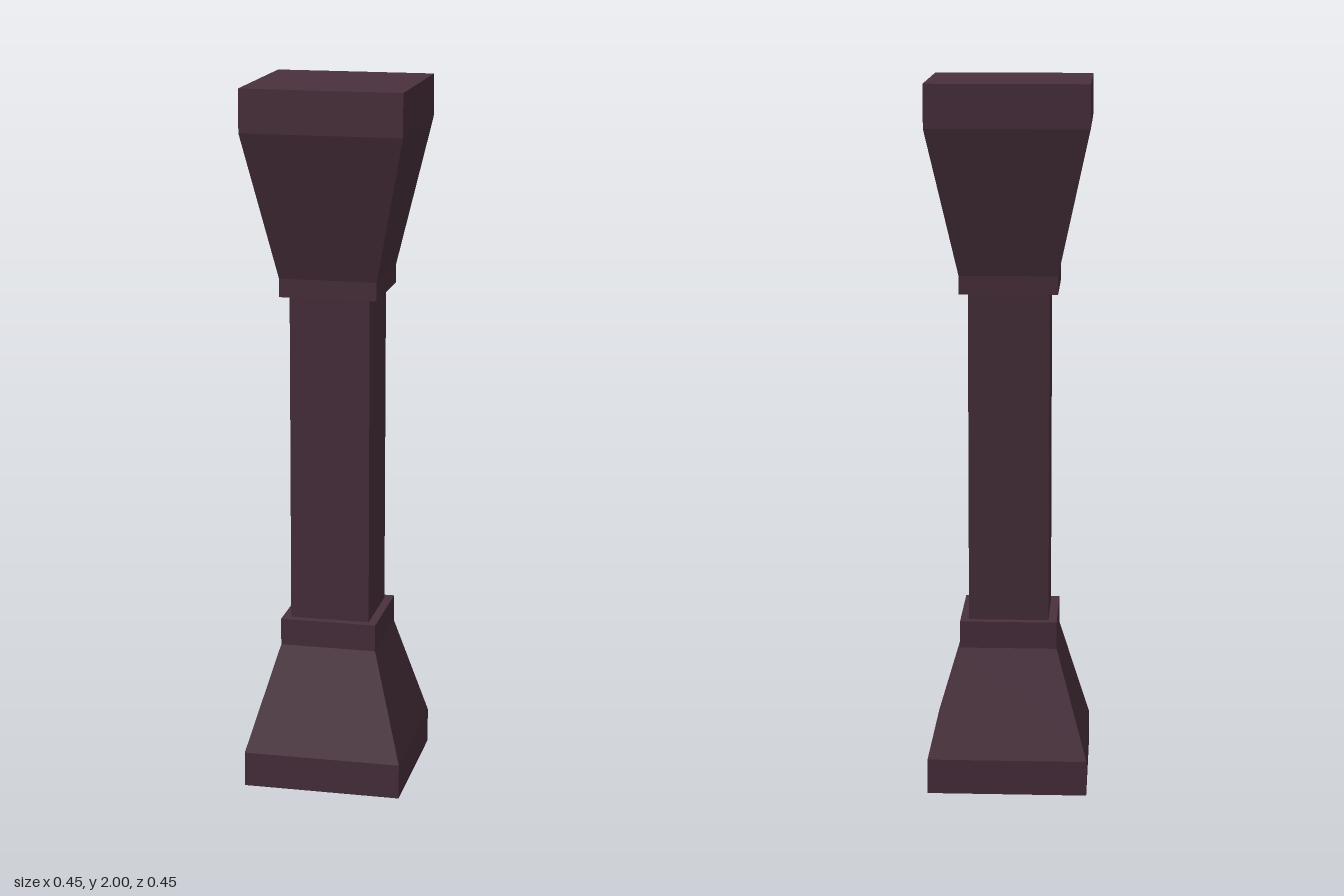
import * as THREE from 'three';

// Square-section solid turned from [half width, height] pairs, bottom to top
function squareTurned(name, profile, material) {
  const points = profile.map(([half, y]) => new THREE.Vector2(half * Math.SQRT2, y));
  const geometry = new THREE.LatheGeometry(points, 4, Math.PI / 4).toNonIndexed();
  geometry.computeVertexNormals();
  const mesh = new THREE.Mesh(geometry, material);
  mesh.name = name;
  return mesh;
}

export function createModel() {
  const stone = new THREE.MeshStandardMaterial({ color: 0x4a303d });
  stone.name = 'dark plum stone';
  stone.flatShading = true;

  const wide = 0.225, collar = 0.137, shaft = 0.113;
  const group = new THREE.Group();
  group.name = 'pillar';
  group.add(
    // Flared foot with a plinth and a collar
    squareTurned('base', [[0, 0], [wide, 0], [wide, 0.1], [collar, 0.405], [collar, 0.482], [0, 0.482]], stone),
    // Plain square shaft
    squareTurned('shaft', [[shaft, 0.482], [shaft, 1.418]], stone),
    // Taller flared head with a thin collar and a slab
    squareTurned('capital', [[0, 1.418], [collar, 1.418], [collar, 1.47], [wide, 1.88], [wide, 2], [0, 2]], stone),
  );
  return group;
}
